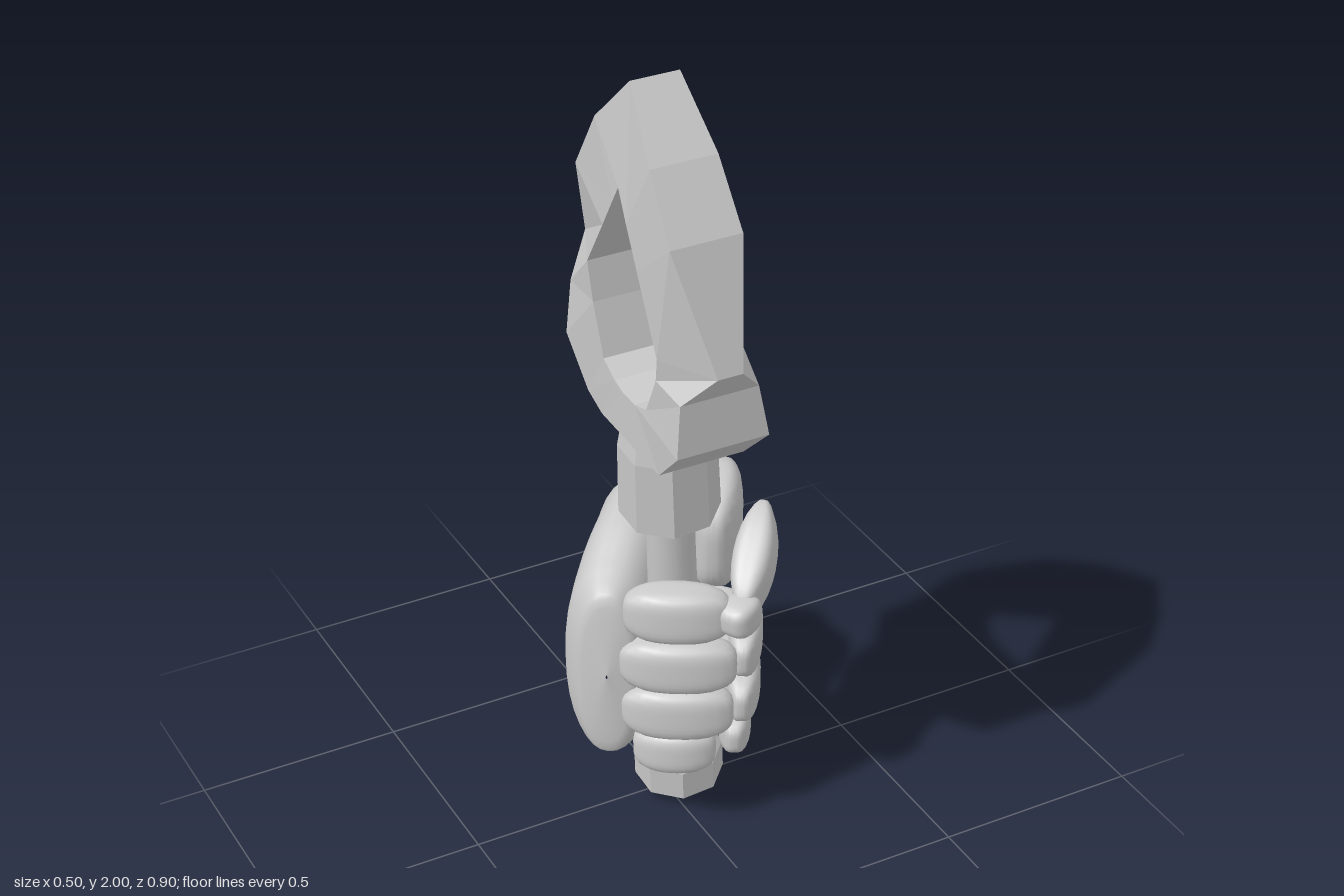
import * as THREE from 'three';

const smooth = new THREE.MeshStandardMaterial({ color: 0xcccccc });
const faceted = new THREE.MeshStandardMaterial({ color: 0xcccccc, flatShading: true });

function add(parent, name, geometry, material) {
  const mesh = new THREE.Mesh(geometry, material);
  mesh.name = name;
  parent.add(mesh);
  return mesh;
}

// Skin a list of equal-sized rings; closed joins the last ring to the first
function loft(rings, closed) {
  const n = rings[0].length, count = rings.length, index = [];
  for (let i = 0; i < (closed ? count : count - 1); i++) {
    const j = (i + 1) % count;
    for (let k = 0; k < n; k++) {
      const m = (k + 1) % n;
      const a = i * n + k, b = i * n + m, c = j * n + m, d = j * n + k;
      index.push(a, b, c, a, c, d);
    }
  }
  const g = new THREE.BufferGeometry().setFromPoints(rings.flat());
  g.setIndex(index);
  g.computeVertexNormals();
  return g;
}

// Pierced head: outer z, y, half width; inner z, y, half width
function headGeometry() {
  const stations = [
    [0.19, 2.00, 0.058, 0.165, 1.75, 0.095],
    [0.30, 1.85, 0.080, 0.197, 1.675, 0.098],
    [0.38, 1.70, 0.086, 0.235, 1.585, 0.10],
    [0.45, 1.41, 0.030, 0.30, 1.40, 0.10],
    [0.39, 1.33, 0.095, 0.285, 1.34, 0.10],
    [0.39, 1.20, 0.112, 0.22, 1.23, 0.10],
    [0.27, 1.09, 0.105, 0.16, 1.21, 0.10],
    [-0.02, 1.09, 0.105, 0.10, 1.21, 0.10],
    [-0.08, 1.12, 0.108, 0.06, 1.22, 0.10],
    [-0.165, 1.23, 0.112, 0.01, 1.25, 0.10],
    [-0.15, 1.37, 0.095, -0.02, 1.38, 0.10],
    [-0.18, 1.47, 0.035, -0.03, 1.48, 0.10],
    [-0.09, 1.69, 0.080, 0.075, 1.62, 0.10],
    [0.04, 1.86, 0.080, 0.135, 1.705, 0.098],
  ];
  const corner = (z, y, w) => new THREE.Vector3(0.04 - 0.08 * y - 0.03 * (z - 0.13) + w, y, z);
  return loft(stations.map(([oz, oy, ow, iz, iy, iw]) => [
    corner(oz, oy, ow), corner(oz, oy, -ow), corner(iz, iy, -iw), corner(iz, iy, iw),
  ]), true);
}

// Palm and wrist: x, z, bottom y, top y, half thickness from wrist to knuckles
function palmGeometry() {
  const stations = [
    [0.182, -0.402, 0.45, 0.46, 0.002],
    [0.177, -0.394, 0.32, 0.60, 0.093],
    [0.13, -0.32, 0.27, 0.65, 0.118],
    [0.05, -0.20, 0.185, 0.755, 0.125],
    [-0.06, -0.09, 0.17, 0.74, 0.115],
    [-0.145, 0.005, 0.18, 0.69, 0.108],
    [-0.188, 0.068, 0.22, 0.65, 0.068],
    [-0.197, 0.085, 0.44, 0.45, 0.002],
  ];
  const centre = new THREE.CatmullRomCurve3(stations.map(([x, z, lo, hi]) => new THREE.Vector3(x, (lo + hi) / 2, z)));
  const size = new THREE.CatmullRomCurve3(stations.map(([, , lo, hi, t]) => new THREE.Vector3(t, (hi - lo) / 2, 0)));
  const soften = v => Math.sign(v) * Math.abs(v) ** 0.85;
  const rings = [];
  for (let i = 0; i <= 42; i++) {
    const c = centre.getPoint(i / 42), s = size.getPoint(i / 42), ring = [];
    for (let k = 0; k < 32; k++) {
      const a = k / 32 * Math.PI * 2;
      const across = soften(Math.cos(a)) * s.x;
      ring.push(new THREE.Vector3(c.x + 0.8 * across, c.y + soften(Math.sin(a)) * s.y, c.z + 0.6 * across));
    }
    rings.push(ring);
  }
  return loft(rings, false);
}

// Soft block that thins towards both ends
function pillowGeometry(length, height, thick, taper) {
  const g = new THREE.SphereGeometry(1, 28, 20), p = g.attributes.position;
  for (let i = 0; i < p.count; i++) {
    const v = new THREE.Vector3().fromBufferAttribute(p, i);
    v.divideScalar((v.x ** 4 + v.y ** 4 + v.z ** 4) ** 0.25);
    const u = v.x * v.x;
    p.setXYZ(i, v.x * length / 2, v.y * height / 2 * (1 - 0.15 * u), v.z * thick / 2 * (1 - taper * u));
  }
  g.computeVertexNormals();
  return g;
}

// Finger joint running from a to b, with given height and thickness
function joint(parent, name, a, b, height, thick, taper = 0.4) {
  const from = new THREE.Vector3(...a), to = new THREE.Vector3(...b);
  const along = to.clone().sub(from), length = along.length();
  along.normalize();
  const side = along.clone().cross(new THREE.Vector3(0, 1, 0)).normalize();
  const up = side.clone().cross(along);
  const mesh = add(parent, name, pillowGeometry(length, height, thick, taper), smooth);
  mesh.quaternion.setFromRotationMatrix(new THREE.Matrix4().makeBasis(along, up, side));
  mesh.position.copy(from.add(to).multiplyScalar(0.5));
}

export function createModel() {
  const model = new THREE.Group();
  model.name = 'handHoldingWeapon';

  // Leaning shaft, collar and pommel
  const shaft = new THREE.Group();
  shaft.name = 'shaft';
  shaft.position.set(0.04, 0, 0.003);
  shaft.quaternion.setFromUnitVectors(new THREE.Vector3(0, 1, 0), new THREE.Vector3(-0.08, 1, 0.09).normalize());
  model.add(shaft);
  const turned = (name, profile) => {
    const g = new THREE.LatheGeometry(profile.map(p => new THREE.Vector2(...p)), 8);
    add(shaft, name, g, faceted).rotation.y = Math.PI / 8;
  };
  add(shaft, 'handle', new THREE.CylinderGeometry(0.056, 0.062, 0.8, 20), smooth).position.y = 0.5;
  turned('pommel', [[0, 0.005], [0.055, 0.015], [0.107, 0.045], [0.107, 0.125], [0.088, 0.15], [0, 0.15]]);
  turned('collar', [[0, 0.85], [0.09, 0.85], [0.117, 0.87], [0.113, 1.06], [0.1, 1.13], [0, 1.13]]);

  add(model, 'piercedHead', headGeometry(), faceted);

  // Hand
  const hand = new THREE.Group();
  hand.name = 'hand';
  model.add(hand);
  add(hand, 'palm', palmGeometry(), smooth);

  // Fingers: height level, joint height, outward reach
  const fingers = [
    [0.622, 0.135, 0.0], [0.485, 0.135, 0.01], [0.352, 0.135, 0.005], [0.235, 0.115, -0.025],
  ];
  fingers.forEach(([y, h, r], i) => {
    const finger = new THREE.Group();
    finger.name = 'finger' + (i + 1);
    hand.add(finger);
    joint(finger, 'lowerJoint', [-0.155 - r, y, 0.09], [0.055 + r, y + 0.005, 0.225 + r], h, 0.11);
    if (i === 0) {
      // Forefinger ends in a short knob beneath the thumb
      joint(finger, 'knob', [0.025, y, 0.26], [0.115, y + 0.01, 0.215], 0.085, 0.085, 0.2);
    } else {
      joint(finger, 'middleJoint', [0.08, y - 0.005, 0.225 + r], [0.195 + r, y + 0.015, 0.04], h * 0.94, 0.08);
    }
    joint(finger, 'fingertip', [0.175 + r, y + 0.01, 0.06], [0.08, y + 0.005, -0.045], h * 0.68, 0.07);
  });

  // Thumb
  const thumb = new THREE.Group();
  thumb.name = 'thumb';
  hand.add(thumb);
  joint(thumb, 'thumbBase', [0.08, 0.695, 0.085], [0.222, 0.72, -0.135], 0.28, 0.125);
  joint(thumb, 'thumbTip', [0.238, 0.775, 0.055], [0.085, 0.61, 0.225], 0.14, 0.095, 0.6);
  return model;
}
